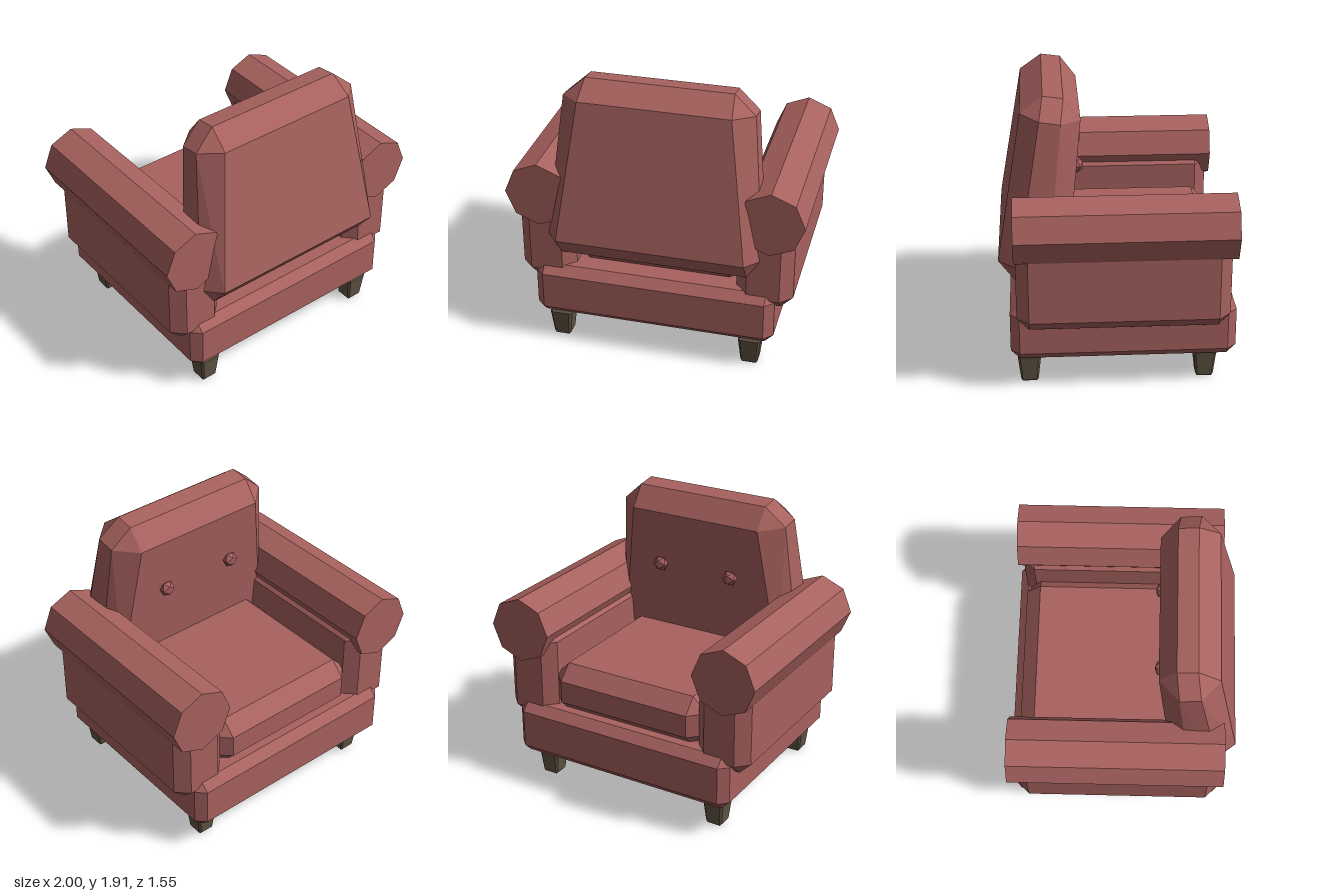
import * as THREE from 'three';
import { ConvexGeometry } from 'three/addons/geometries/ConvexGeometry.js';

const V = (x, y, z) => new THREE.Vector3(x, y, z);

// Box with one-segment chamfers; the lower end can be scaled for a taper
function bevelBox([x0, x1], [y0, y1], [z0, z1], b, taper = 1) {
  const c = V((x0 + x1) / 2, (y0 + y1) / 2, (z0 + z1) / 2);
  const h = V((x1 - x0) / 2, (y1 - y0) / 2, (z1 - z0) / 2);
  const points = [];
  for (const sx of [-1, 1]) for (const sy of [-1, 1]) for (const sz of [-1, 1]) {
    const t = sy < 0 ? taper : 1;
    for (const [ix, iy, iz] of [[0, b, b], [b, 0, b], [b, b, 0]]) {
      points.push(V(c.x + sx * (h.x - ix) * t, c.y + sy * (h.y - iy), c.z + sz * (h.z - iz) * t));
    }
  }
  return new ConvexGeometry(points);
}

export function createModel() {
  const group = new THREE.Group();
  const upholstery = new THREE.MeshStandardMaterial({ color: 0xa8625f, flatShading: true });
  upholstery.name = 'dusty red upholstery';
  const wood = new THREE.MeshStandardMaterial({ color: 0x615544, flatShading: true });
  wood.name = 'dark wood';

  const add = (name, geometry, material = upholstery) => {
    const mesh = new THREE.Mesh(geometry, material);
    mesh.name = name;
    group.add(mesh);
    return mesh;
  };

  // Base and seat
  add('base', bevelBox([-0.82, 0.82], [0.2, 0.58], [-0.77, 0.71], 0.06));
  add('seatCushion', bevelBox([-0.585, 0.585], [0.535, 0.89], [-0.7, 0.57], 0.1));

  // Leaning, tapered backrest: chamfer points of one half, mirrored
  const half = [
    [0.5, 1.8, 0.616], [0.487, 1.908, 0.47], [0.63, 1.783, 0.495],
    [0.485, 1.747, 0.23], [0.487, 1.89, 0.338], [0.63, 1.763, 0.36],
    [0.63, 0.845, 0.777], [0.63, 0.7, 0.667], [0.725, 0.83, 0.65],
    [0.62, 0.8, 0.325], [0.62, 0.672, 0.45], [0.715, 0.81, 0.45],
  ];
  add('backrest', new ConvexGeometry(half.flatMap(([x, y, z]) => [V(x, y, z), V(-x, y, z)])));

  for (const s of [-1, 1]) {
    const side = s > 0 ? 'left' : 'right';

    // Arm panel and eight-sided arm roll
    const xs = s > 0 ? [0.55, 0.93] : [-0.93, -0.55];
    add(side + 'ArmPanel', bevelBox(xs, [0.455, 1.12], [-0.717, 0.665], 0.08));
    const roll = new THREE.CylinderGeometry(0.225, 0.225, 1.42, 8);
    roll.rotateX(Math.PI / 2);
    add(side + 'ArmRoll', roll).position.set(s * 0.775, 1.118, -0.035);

    // Backrest button
    const button = add(side + 'Button', new THREE.IcosahedronGeometry(0.055, 0));
    button.position.set(s * 0.275, 1.365, 0.248);
    button.scale.z = 0.75;

    // Tapered legs
    for (const z of [-0.575, 0.59]) {
      const leg = add(side + (z > 0 ? 'Rear' : 'Front') + 'Leg',
        bevelBox([-0.077, 0.077], [0, 0.205], [-0.077, 0.077], 0.015, 0.75), wood);
      leg.position.set(s * 0.66, 0, z);
    }
  }
  return group;
}
